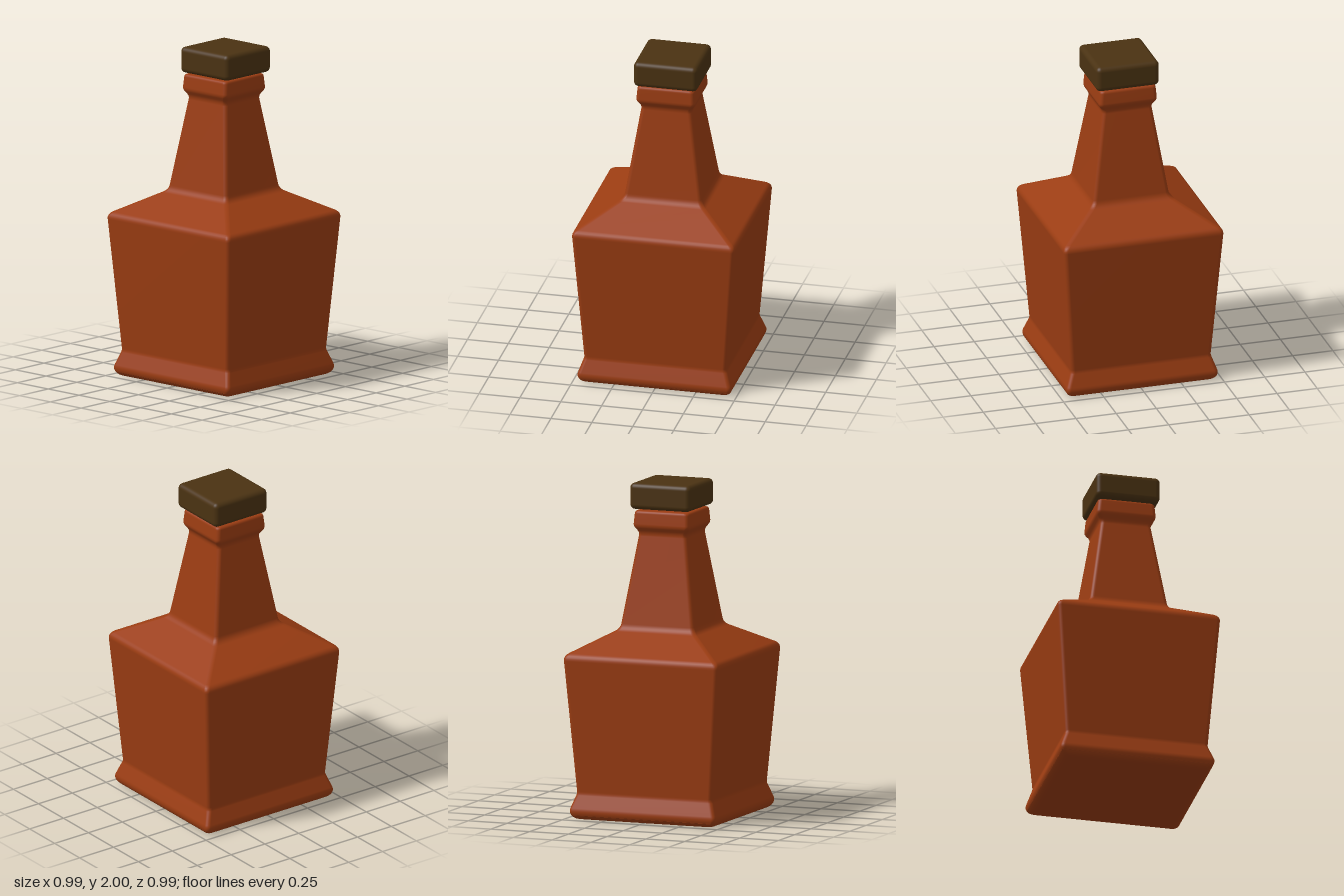
import * as THREE from 'three';
import { RoundedBoxGeometry } from 'three/addons/geometries/RoundedBoxGeometry.js';

// Rounds each inner profile point [halfWidth, y, cut] with a short curve
function roundProfile(points, steps = 5) {
  const out = [];
  points.forEach(([x, y, cut], i) => {
    const p = new THREE.Vector2(x, y);
    if (!cut) { out.push(p); return; }
    const toward = ([ox, oy]) => new THREE.Vector2(ox, oy).sub(p).setLength(cut).add(p);
    const bend = new THREE.QuadraticBezierCurve(toward(points[i - 1]), p, toward(points[i + 1]));
    out.push(...bend.getPoints(steps));
  });
  return out;
}

// Stacks rounded-square rings along a profile, bottom to top
function squareLoft(profile, cornerRadius, cornerSteps = 5) {
  const positions = [], index = [];
  const ring = 4 * (cornerSteps + 1);
  for (const { x: half, y } of profile) {
    const r = Math.min(cornerRadius, half);
    for (let corner = 0; corner < 4; corner++) {
      const mid = (corner + 0.5) * Math.PI / 2;
      const cx = Math.sign(Math.cos(mid)) * (half - r);
      const cz = Math.sign(Math.sin(mid)) * (half - r);
      for (let s = 0; s <= cornerSteps; s++) {
        const a = (corner + s / cornerSteps) * Math.PI / 2;
        positions.push(cx + r * Math.cos(a), y, cz + r * Math.sin(a));
      }
    }
  }
  for (let i = 0; i < profile.length - 1; i++) {
    for (let j = 0; j < ring; j++) {
      const a = i * ring + j, b = i * ring + (j + 1) % ring;
      index.push(a, a + ring, b, b, a + ring, b + ring);
    }
  }
  const geometry = new THREE.BufferGeometry();
  geometry.setAttribute('position', new THREE.Float32BufferAttribute(positions, 3));
  geometry.setIndex(index);
  geometry.computeVertexNormals();
  return geometry;
}

export function createModel() {
  const model = new THREE.Group();
  model.name = 'squareBottle';
  const glass = new THREE.MeshStandardMaterial({ color: 0x9a3c12 });
  const capMaterial = new THREE.MeshStandardMaterial({ color: 0x4a3212 });

  // Flared foot, tapered body, sloped shoulder, neck and lip
  const profile = roundProfile([
    [0, 0],
    [0.45, 0, 0.03],
    [0.475, 0.045, 0.025],
    [0.436, 0.155, 0.012],
    [0.499, 0.985, 0.03],
    [0.24, 1.13, 0.03],
    [0.153, 1.7, 0.02],
    [0.181, 1.742, 0.015],
    [0.173, 1.835, 0.018],
    [0, 1.835],
  ]);
  const bottle = new THREE.Mesh(squareLoft(profile, 0.025), glass);
  bottle.name = 'bottle';
  bottle.position.set(-0.003, 0, 0);
  model.add(bottle);

  // Stopper joining the lip and the cap
  const stopper = new THREE.Mesh(new THREE.BoxGeometry(0.22, 0.08, 0.22), capMaterial);
  stopper.name = 'stopper';
  stopper.position.set(0.005, 1.84, -0.005);
  model.add(stopper);

  // Rounded square cap
  const cap = new THREE.Mesh(new RoundedBoxGeometry(0.39, 0.157, 0.39, 5, 0.03), capMaterial);
  cap.name = 'cap';
  cap.position.set(0.005, 1.9215, -0.005);
  model.add(cap);

  return model;
}
